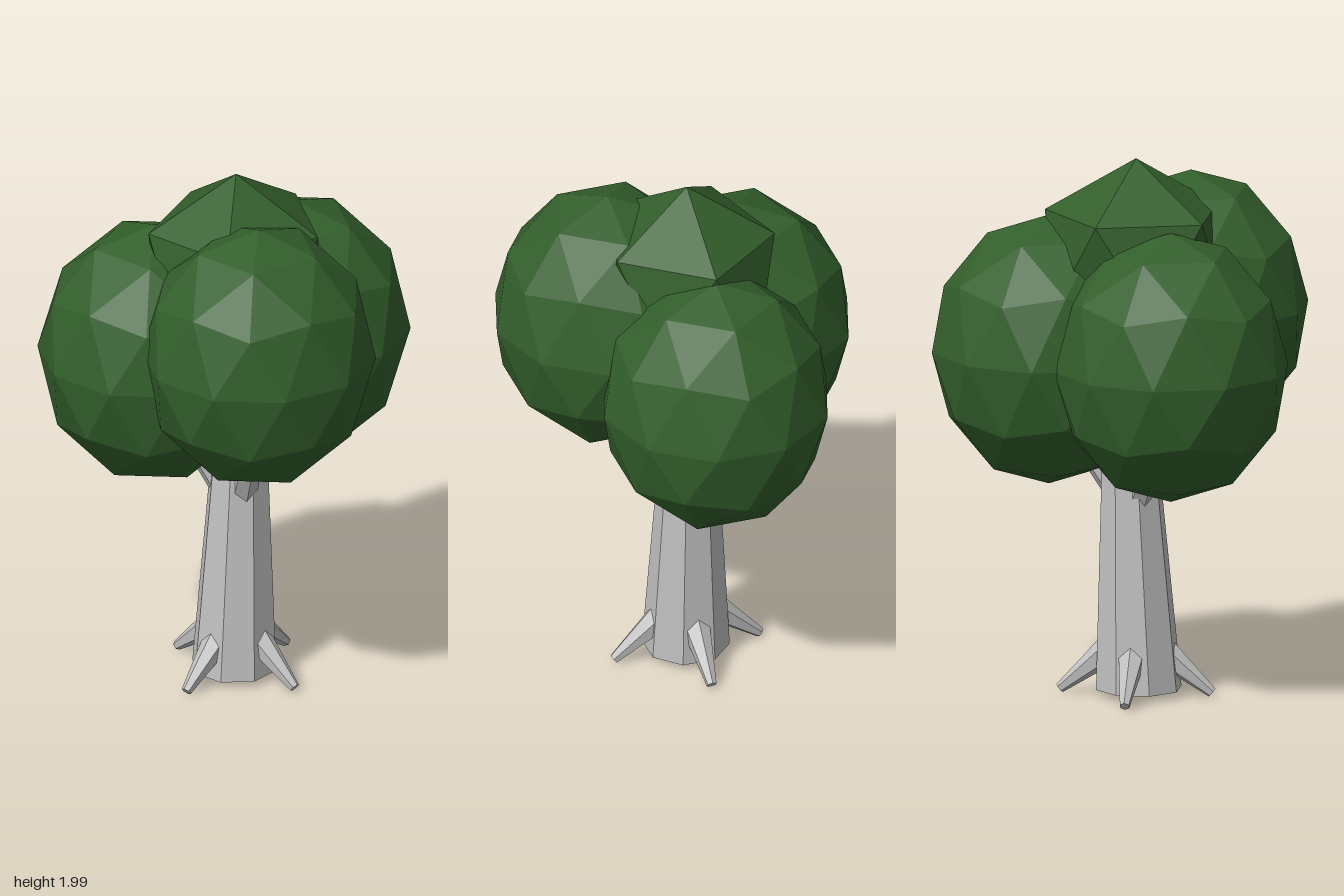
import * as THREE from 'three';

const leafGreen = new THREE.MeshStandardMaterial({ color: 0x335f2c });
leafGreen.name = 'leafGreen';
const barkGrey = new THREE.MeshStandardMaterial({ color: 0xc0c0c0 });
barkGrey.name = 'barkGrey';

// Hard-edged facets: unshared corners with face normals
function faceted(geometry) {
  const g = geometry.index ? geometry.toNonIndexed() : geometry;
  g.computeVertexNormals();
  return g;
}

function addMesh(group, name, geometry, material) {
  const mesh = new THREE.Mesh(faceted(geometry), material);
  mesh.name = name;
  group.add(mesh);
  return mesh;
}

// Icosphere standing on a corner, with an upper-ring corner towards +x
function leafBall(detail, sx, sy, sz) {
  const g = new THREE.IcosahedronGeometry(1, detail);
  g.rotateZ(-Math.atan(2 / (1 + Math.sqrt(5))));
  return g.scale(sx, sy, sz);
}

// Tapered six-sided limb between two points, one ridge facing up
function limb(from, to, r0, r1) {
  const a = new THREE.Vector3(...from);
  const b = new THREE.Vector3(...to);
  const dir = b.clone().sub(a);
  const length = dir.length();
  const yAxis = dir.normalize();
  const xAxis = new THREE.Vector3().crossVectors(yAxis, new THREE.Vector3(0, 1, 0)).normalize();
  const zAxis = new THREE.Vector3().crossVectors(xAxis, yAxis);
  const m = new THREE.Matrix4().makeBasis(xAxis, yAxis, zAxis);
  m.setPosition(a.add(b).multiplyScalar(0.5));
  return new THREE.CylinderGeometry(r1, r0, length, 6).applyMatrix4(m);
}

export function createModel() {
  const tree = new THREE.Group();
  tree.name = 'tree';

  // Trunk: tapered octagon with a slight lean towards +x
  const bottom = 0.03, top = 1.25, height = top - bottom;
  const trunk = new THREE.CylinderGeometry(0.083, 0.16, height, 8, 1, false, Math.PI / 8);
  trunk.translate(0, (top + bottom) / 2, 0);
  const p = trunk.attributes.position;
  for (let i = 0; i < p.count; i++) {
    p.setX(i, p.getX(i) - 0.09 + 0.045 * (p.getY(i) - bottom) / height);
  }
  addMesh(tree, 'trunk', trunk, barkGrey);

  // Roots: four around the base
  for (let i = 0; i < 4; i++) {
    const c = Math.round(Math.cos(i * Math.PI / 2));
    const s = Math.round(Math.sin(i * Math.PI / 2));
    addMesh(tree, 'root', limb(
      [-0.08 + 0.08 * c, 0.185, 0.08 * s],
      [-0.08 + 0.28 * c, 0.02, 0.28 * s], 0.058, 0.019), barkGrey);
  }

  // Branches: one into each large leaf ball
  addMesh(tree, 'branch', limb([-0.02, 0.75, 0], [0.2, 1.07, 0], 0.05, 0.04), barkGrey);
  for (const side of [1, -1]) {
    addMesh(tree, 'branch',
      limb([-0.1, 0.75, 0.055 * side], [-0.22, 1.1, 0.22 * side], 0.05, 0.04), barkGrey);
  }

  // Foliage: three large balls around a coarser crown
  const balls = [[0.24, 1.28, 0], [-0.245, 1.41, 0.247], [-0.245, 1.28, -0.247]];
  for (const centre of balls) {
    addMesh(tree, 'leafBall', leafBall(1, 0.432, 0.5, 0.426), leafGreen).position.set(...centre);
  }
  addMesh(tree, 'crown', leafBall(0, 0.375, 0.362, 0.356), leafGreen).position.set(-0.08, 1.638, 0);

  return tree;
}
